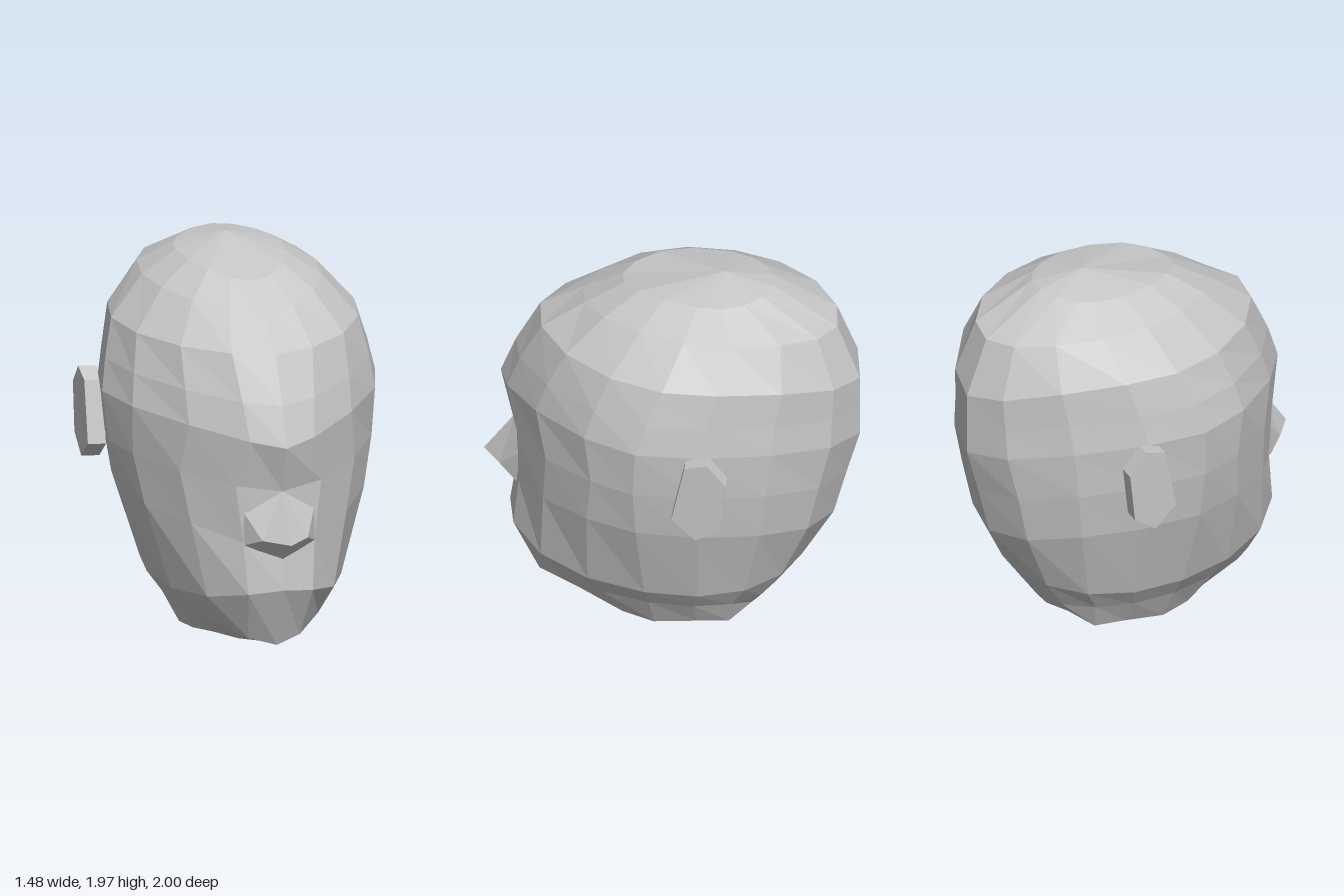
import * as THREE from 'three';

const skin = new THREE.MeshStandardMaterial({ color: 0xc8c8c8, flatShading: true, side: THREE.DoubleSide });
skin.name = 'plain grey';

// Rings from crown to neck rim.
// yF, yS, yB: height at front, side, back; zF, zM, zB: depth at front, widest point, back;
// w: half width; f, b: how pointed the front and back outlines are (1 = ellipse);
// n: extra narrowing of the face
const RINGS = [
  { yF: 1.87, yS: 1.92, yB: 1.94, zF: 0.26, zM: -0.22, zB: -0.54, w: 0.28, f: 1.0, b: 1.0, n: 0 },
  { yF: 1.75, yS: 1.81, yB: 1.76, zF: 0.47, zM: -0.20, zB: -0.88, w: 0.46, f: 1.05, b: 1.05, n: 0 },
  { yF: 1.61, yS: 1.61, yB: 1.47, zF: 0.70, zM: -0.14, zB: -1.00, w: 0.64, f: 1.1, b: 1.17, n: 0.05 },
  { yF: 1.37, yS: 1.42, yB: 1.30, zF: 0.83, zM: -0.07, zB: -1.00, w: 0.69, f: 1.15, b: 1.2, n: 0.2 },
  { yF: 1.17, yS: 1.26, yB: 1.14, zF: 0.91, zM: -0.02, zB: -1.00, w: 0.72, f: 1.2, b: 1.18, n: 0.3 },
  { yF: 0.92, yS: 1.00, yB: 0.90, zF: 0.83, zM: 0.00, zB: -0.93, w: 0.69, f: 1.28, b: 1.08, n: -0.12 },
  { yF: 0.60, yS: 0.74, yB: 0.64, zF: 0.83, zM: 0.00, zB: -0.86, w: 0.64, f: 1.13, b: 1.03, n: 0.15 },
  { yF: 0.40, yS: 0.29, yB: 0.35, zF: 0.86, zM: 0.00, zB: -0.69, w: 0.49, f: 1.05, b: 0.97, n: 0.05 },
  { yF: 0.07, yS: 0.18, yB: 0.17, zF: 0.72, zM: 0.00, zB: -0.56, w: 0.41, f: 1.05, b: 0.92, n: 0.1 },
  { yF: 0.01, yS: 0.01, yB: 0.10, zF: 0.45, zM: 0.00, zB: -0.50, w: 0.32, f: 1.0, b: 0.85, n: 0, wave: 0.03 },
];
const COLUMNS = 16;

function ringPoint(r, k) {
  const a = (k / COLUMNS) * Math.PI * 2;
  const s = Math.sin(a), c = Math.cos(a);
  const front = c >= 0;
  const e = front ? r.f : r.b;
  const width = Math.sign(s) * Math.pow(Math.abs(s), e + (front ? r.n : 0));
  const depth = Math.pow(Math.abs(c), e);
  const wave = (r.wave ?? 0) * Math.sin((front ? 2 : 4) * a) ** 2;
  return [
    r.w * width,
    r.yS + ((front ? r.yF : r.yB) - r.yS) * c ** 4 + wave,
    r.zM + depth * ((front ? r.zF : r.zB) - r.zM),
  ];
}

function addMesh(group, geometry, name) {
  const mesh = new THREE.Mesh(geometry, skin);
  mesh.name = name;
  group.add(mesh);
  return mesh;
}

function fromTriangles(positions) {
  const g = new THREE.BufferGeometry();
  g.setAttribute('position', new THREE.Float32BufferAttribute(positions, 3));
  g.computeVertexNormals();
  return g;
}

// Skull, face and jaw as one shell, open at the neck
function headGeometry() {
  const out = [];
  const apex = [0, 1.98, -0.28];
  for (let k = 0; k < COLUMNS; k++) {
    out.push(...apex, ...ringPoint(RINGS[0], k), ...ringPoint(RINGS[0], k + 1));
    for (let i = 0; i < RINGS.length - 1; i++) {
      const a = ringPoint(RINGS[i], k), b = ringPoint(RINGS[i + 1], k);
      const c = ringPoint(RINGS[i + 1], k + 1), d = ringPoint(RINGS[i], k + 1);
      out.push(...a, ...b, ...c, ...a, ...c, ...d);
    }
  }
  return fromTriangles(out);
}

// Wedge nose with a flat underside, blending into the cheeks, mirrored left and right
function noseGeometry() {
  const out = [];
  for (const s of [1, -1]) {
    const bridge = [0, 0.92, 0.83], tip = [0, 0.68, 1.0], base = [0, 0.55, 0.82];
    const nostril = [s * 0.12, 0.68, 0.88], wing = [s * 0.185, 0.63, 0.77];
    const cheek = [s * 0.19, 0.81, 0.75];
    const faces = [
      [bridge, tip, nostril], [bridge, nostril, cheek], [cheek, nostril, wing],
      [tip, base, nostril], [nostril, base, wing],
    ];
    for (const [a, b, c] of faces) out.push(...a, ...(s > 0 ? b : c), ...(s > 0 ? c : b));
  }
  return fromTriangles(out);
}

// Six-sided ear plate swept slightly back, outline given as (-z, y)
function earGeometry() {
  const outline = [[0.2, 0.92], [0.33, 0.82], [0.46, 0.91], [0.49, 1.17], [0.39, 1.28], [0.27, 1.24]];
  const shape = new THREE.Shape(outline.map(p => new THREE.Vector2(...p)));
  return new THREE.ExtrudeGeometry(shape, { depth: 0.09, bevelEnabled: false })
    .rotateY(Math.PI / 2)
    .applyMatrix4(new THREE.Matrix4().makeShear(0, -0.22, 0, 0, 0, 0))
    .translate(0.65, 0, 0);
}

export function createModel() {
  const group = new THREE.Group();
  group.name = 'head';
  addMesh(group, headGeometry(), 'skull and face');
  addMesh(group, noseGeometry(), 'nose');
  const ear = earGeometry();
  addMesh(group, ear, 'left ear');
  addMesh(group, ear, 'right ear').scale.x = -1;
  return group;
}
